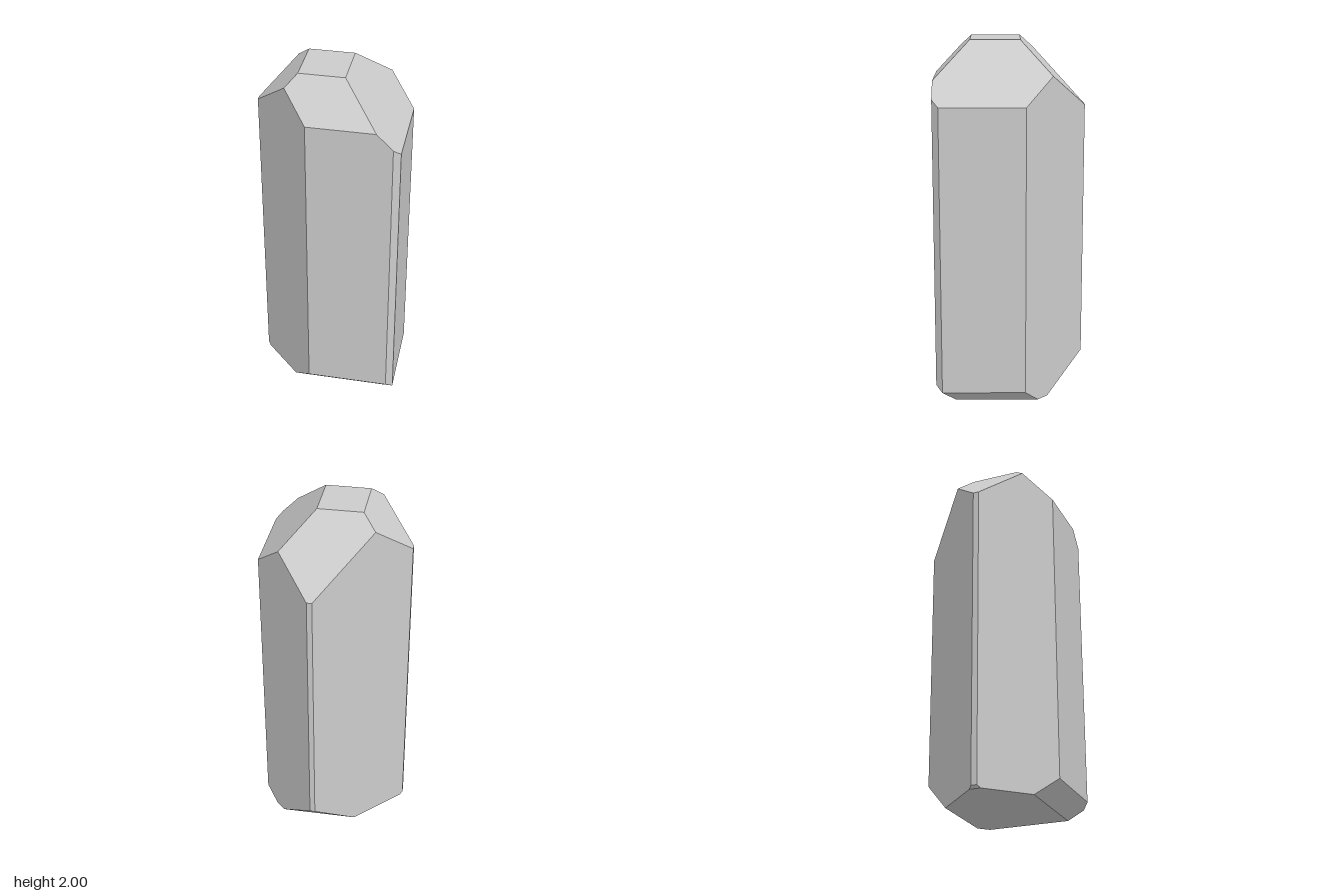
import * as THREE from 'three';

// Crystal faces as half-spaces: nx*x + ny*y + nz*z <= d
const FACES = [
  // upright sides
  [1, 0, 0, 0.41], [-1, 0, 0, 0.41], [0, 0, 1, 0.413], [0, 0, -1, 0.413],
  [-1, 0, 1, 0.495], [-1, 0, -1, 0.358], [1, 0, -1, 0.497], [1, 0, 1, 0.787],
  // flat ends
  [0, 1, 0, 2], [0, -1, 0, 0],
  // upper bevels
  [1, 1, 0, 2.091], [-1, 1, 0, 2.157], [0, 1, 1, 2.218], [0, 1, -1, 2.057],
  // lower bevels
  [1, -1, 0, 0.338], [-1, -1, 0, 0.395], [0, -1, 1, 0.308], [0, -1, -1, 0.212],
];

// Point shared by three planes, or null if they do not meet in one point
function meet(a, b, c) {
  const m = new THREE.Matrix3().set(
    a[0], a[1], a[2], b[0], b[1], b[2], c[0], c[1], c[2]);
  if (Math.abs(m.determinant()) < 1e-6) return null;
  return new THREE.Vector3(a[3], b[3], c[3]).applyMatrix3(m.invert());
}

const height = (f, p) => f[0] * p.x + f[1] * p.y + f[2] * p.z - f[3];

function cutSolid(faces) {
  // Corners: plane intersections that lie inside every half-space
  const corners = [];
  for (let i = 0; i < faces.length; i++)
    for (let j = i + 1; j < faces.length; j++)
      for (let k = j + 1; k < faces.length; k++) {
        const p = meet(faces[i], faces[j], faces[k]);
        if (!p || faces.some((f) => height(f, p) > 1e-5)) continue;
        if (!corners.some((q) => q.distanceTo(p) < 1e-4)) corners.push(p);
      }

  // Each facet: its corners sorted counter-clockwise, then fanned
  const positions = [];
  for (const f of faces) {
    const ring = corners.filter((p) => Math.abs(height(f, p)) < 1e-4);
    if (ring.length < 3) continue;
    const n = new THREE.Vector3(f[0], f[1], f[2]).normalize();
    const mid = ring.reduce((s, p) => s.add(p), new THREE.Vector3()).divideScalar(ring.length);
    const u = ring[0].clone().sub(mid).normalize();
    const v = n.clone().cross(u);
    const angle = (p) => {
      const d = p.clone().sub(mid);
      return Math.atan2(d.dot(v), d.dot(u));
    };
    ring.sort((a, b) => angle(a) - angle(b));
    for (let i = 1; i < ring.length - 1; i++)
      for (const p of [ring[0], ring[i], ring[i + 1]]) positions.push(p.x, p.y, p.z);
  }
  const geometry = new THREE.BufferGeometry();
  geometry.setAttribute('position', new THREE.Float32BufferAttribute(positions, 3));
  geometry.computeVertexNormals();
  return geometry;
}

export function createModel() {
  const group = new THREE.Group();
  group.name = 'crystalModel';
  const crystal = new THREE.Mesh(
    cutSolid(FACES),
    new THREE.MeshStandardMaterial({ color: 0xcccccc, flatShading: true }));
  crystal.name = 'crystal';
  group.add(crystal);
  return group;
}
